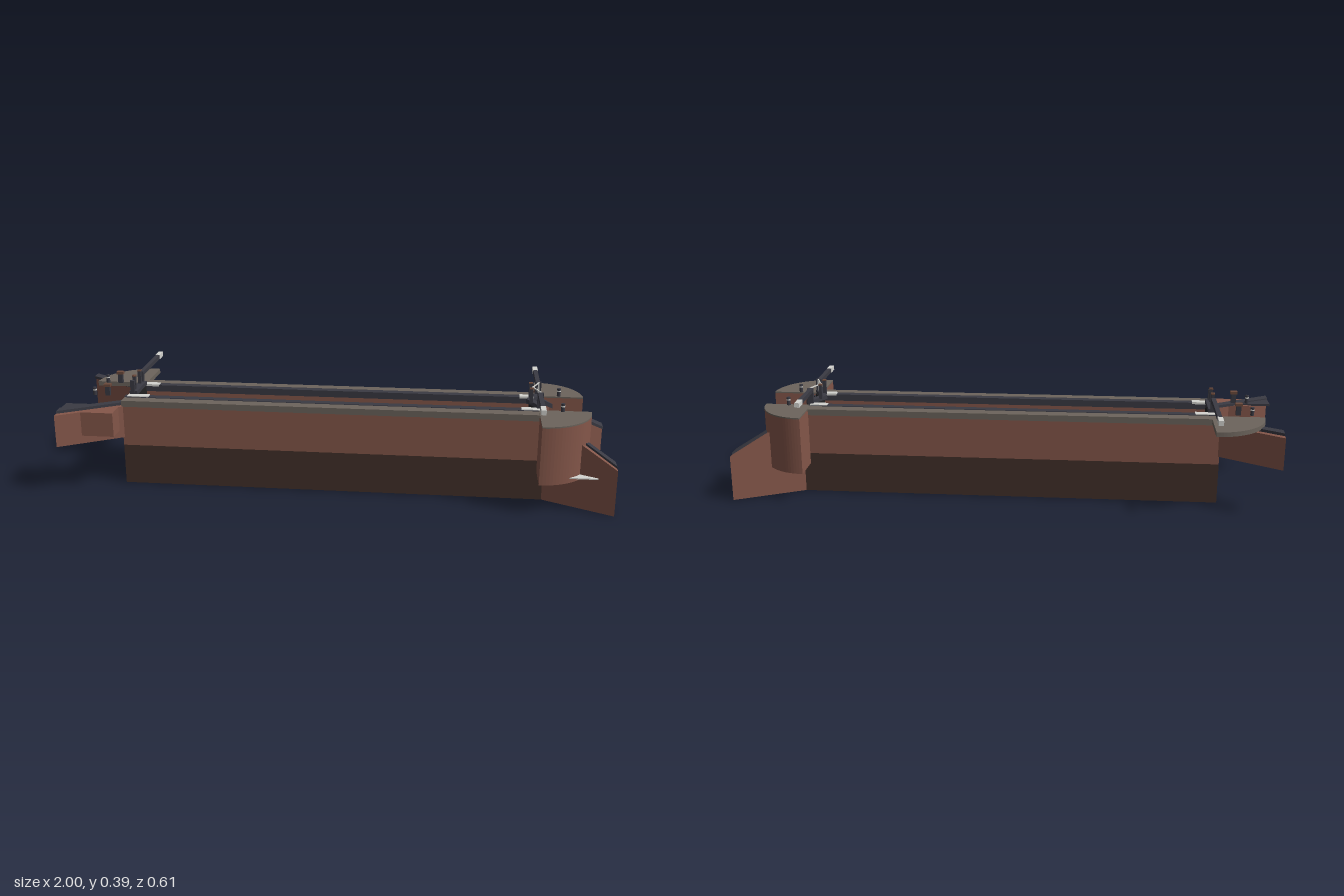
import * as THREE from 'three';
import { ConvexGeometry } from 'three/addons/geometries/ConvexGeometry.js';

const paint = (name, color) => Object.assign(new THREE.MeshStandardMaterial({ color }), { name });
const brick = paint('brick', 0x85574a);
const wetBrick = paint('wet brick', 0x42302a);
const stone = paint('grey stone', 0x6c645c);
const slate = paint('slate timber', 0x3a3a43);
const black = paint('black gate', 0x222222);
const white = paint('white paint', 0xd4d4d0);
const rust = paint('brown metal', 0x6b4a3c);

const MID = 0.035; // centre line of the chamber in z

export function createModel() {
  const root = new THREE.Group();
  root.name = 'canalLock';

  const add = (name, geometry, material) => {
    const m = new THREE.Mesh(geometry, material);
    m.name = name;
    root.add(m);
    return m;
  };
  // box from min / max limits on each axis
  const box = (name, mat, x0, x1, y0, y1, z0, z1) => {
    const g = new THREE.BoxGeometry(x1 - x0, y1 - y0, Math.abs(z1 - z0));
    g.translate((x0 + x1) / 2, (y0 + y1) / 2, (z0 + z1) / 2);
    return add(name, g, mat);
  };
  // straight-sided block between two end sections [x, zInner, zOuter, yBottom, yTop]
  const block = (name, mat, ...ends) => {
    const pts = [];
    for (const [x, zi, zo, y0, y1] of ends)
      for (const z of [zi, zo]) for (const y of [y0, y1]) pts.push(new THREE.Vector3(x, y, z));
    return add(name, new ConvexGeometry(pts), mat);
  };
  // quarter disc: sx, sz choose the quadrant it sweeps
  const quarter = (name, mat, cx, cz, r, sx, sz, y0, y1) => {
    const s = new THREE.Shape();
    s.moveTo(0, 0);
    const n = 24;
    for (let i = 0; i <= n; i++) {
      const k = sx * sz > 0 ? n - i : i;
      const a = (k / n) * Math.PI / 2;
      s.lineTo(sx * r * Math.cos(a), -sz * r * Math.sin(a));
    }
    const g = new THREE.ExtrudeGeometry(s, { depth: y1 - y0, bevelEnabled: false });
    g.rotateX(-Math.PI / 2);
    g.translate(cx, y0, cz);
    return add(name, g, mat);
  };
  const bollard = (x, z) => {
    const parts = [['bollardPost', slate, 0.007, 0.325, 0.355], ['bollardBand', white, 0.0075, 0.343, 0.348]];
    for (const [name, mat, r, y0, y1] of parts) {
      const g = new THREE.CylinderGeometry(r, r, y1 - y0, 12);
      g.translate(x, (y0 + y1) / 2, z);
      add(name, g, mat);
    }
  };

  for (const s of [1, -1]) {
    const Z = d => MID + s * d; // distance from the chamber centre line

    // chamber wall with coping and edge stones
    box('lowerWall', wetBrick, -0.79, 0.76, 0, 0.15, Z(0.065), Z(0.133));
    box('upperWall', brick, -0.79, 0.745, 0.15, 0.3, Z(0.065), Z(0.133));
    box('outerCoping', stone, -0.79, 0.74, 0.3, 0.323, Z(0.092), Z(0.135));
    box('innerCoping', slate, -0.79, 0.74, 0.3, 0.325, Z(0.063), Z(0.092));
    box('upperGateStone', white, -0.78, -0.7, 0.32, 0.328, Z(0.062), Z(0.09));
    box('lowerGateStone', white, 0.67, 0.735, 0.32, 0.328, Z(0.062), Z(0.09));

    // sloping wing wall below the lower gate
    block('lowerWing', brick, [0.755, Z(0.067), Z(0.133), 0, 0.31], [1, Z(0.205), Z(0.258), 0, 0.17]);
    block('lowerWingCoping', slate, [0.755, Z(0.062), Z(0.092), 0.3, 0.318], [1, Z(0.185), Z(0.232), 0.168, 0.178]);

    // round platform under the lower balance beam
    const cz = Z(0.082), r = s > 0 ? 0.186 : 0.172;
    quarter('beamPlatform', brick, 0.732, cz, r, 1, s, 0.11, 0.32);
    quarter('beamPlatformTop', stone, 0.732, cz, r, 1, s, 0.32, 0.325);

    // wing wall above the upper gate
    block('upperWing', brick, [-0.785, Z(0.085), Z(0.133), 0.18, 0.3], [-1, Z(0.212), Z(0.264), 0.18, 0.3]);
    block('upperWingCoping', slate, [-0.785, Z(0.078), Z(0.11), 0.3, 0.31], [-1, Z(0.2), Z(0.24), 0.3, 0.31]);

    // mitre gate leaf, pointing upstream
    block('lowerGateLeaf', black, [0.735, Z(0.067), Z(0.067), 0.012, 0.325], [0.752, Z(0.067), Z(0.067), 0.012, 0.325],
      [0.7, Z(0), Z(0), 0.012, 0.325], [0.717, Z(0), Z(0), 0.012, 0.325]);
    block('lowerGateTopRail', slate, [0.725, Z(0.067), Z(0.067), 0.325, 0.34], [0.75, Z(0.067), Z(0.067), 0.325, 0.34],
      [0.69, Z(0), Z(0), 0.325, 0.34], [0.715, Z(0), Z(0), 0.325, 0.34]);

    // handrail and paddle gear on the leaf
    for (const [x, d] of [[0.737, 0.06], [0.712, 0.004]])
      box('railPost', white, x - 0.003, x + 0.003, 0.335, 0.385, Z(d - 0.002), Z(d + 0.002));
    block('handrail', white, [0.736, Z(0.062), Z(0.062), 0.382, 0.386], [0.74, Z(0.062), Z(0.062), 0.382, 0.386],
      [0.71, Z(0), Z(0), 0.382, 0.386], [0.714, Z(0), Z(0), 0.382, 0.386]);
    box('paddlePost', slate, 0.7, 0.712, 0.335, 0.388, Z(0.027), Z(0.039));
    box('paddleCap', rust, 0.699, 0.713, 0.388, 0.392, Z(0.026), Z(0.04));

    // balance beam with white tip
    const len = s > 0 ? 0.27 : 0.268;
    box('heelPost', slate, 0.725, 0.747, 0.325, 0.385, Z(0.062), Z(0.074));
    box('balanceBeam', slate, 0.726, 0.742, 0.37, 0.385, Z(0.062), Z(len - 0.048));
    box('beamTip', white, 0.725, 0.743, 0.369, 0.386, Z(len - 0.048), Z(len));

    // bollards and ground paddle stands
    bollard(0.815, Z(0.09));
    bollard(-0.905, Z(0.08));
    box('paddleStand', slate, -0.864, -0.846, 0.325, 0.36, Z(0.073), Z(0.087));
    box('paddleStandCap', rust, -0.868, -0.842, 0.36, 0.37, Z(0.07), Z(0.09));
  }

  // upper gate with sill, posts and single balance beam
  box('upperSill', wetBrick, -0.77, -0.72, 0.03, 0.15, -0.03, 0.1);
  box('sillTop', rust, -0.75, -0.72, 0.15, 0.16, -0.03, 0.1);
  box('upperGate', black, -0.775, -0.75, 0.13, 0.325, -0.03, 0.1);
  box('upperGateTopRail', slate, -0.777, -0.748, 0.325, 0.34, -0.03, 0.1);
  for (const z of [-0.026, 0.096]) box('upperGatePost', slate, -0.773, -0.757, 0.325, 0.38, z - 0.006, z + 0.006);
  for (const z of [0.002, 0.07]) {
    box('upperPaddlePost', slate, -0.771, -0.759, 0.335, 0.388, z - 0.006, z + 0.006);
    box('upperPaddleCap', rust, -0.772, -0.758, 0.388, 0.392, z - 0.007, z + 0.007);
  }
  box('upperBeam', slate, -0.773, -0.757, 0.364, 0.38, -0.255, -0.03);
  box('upperBeamTip', white, -0.774, -0.756, 0.363, 0.381, -0.305, -0.255);
  quarter('upperPlatform', stone, -0.757, -0.06, 0.193, -1, -1, 0.306, 0.323);

  // side block and landing beside the upper front wing
  box('sideBlock', brick, -0.93, -0.8, 0.21, 0.3, 0.155, 0.25);
  block('landing', slate, [-1, 0.168, 0.25, 0.298, 0.306], [-0.88, 0.168, 0.185, 0.298, 0.306]);

  // water leaking through the lower gate, and its splash plates
  for (const [z, top] of [[0.079, 0.23], [0.049, 0.26], [0.015, 0.24], [-0.011, 0.257]])
    box('leak', white, 0.748, 0.754, 0.125, top, z - 0.003, z + 0.003);
  box('leakPool', white, 0.735, 0.8, 0.124, 0.128, -0.028, 0.1);
  box('sideOutflow', white, 0.84, 0.94, 0.125, 0.129, 0.198, 0.268);
  return root;
}
